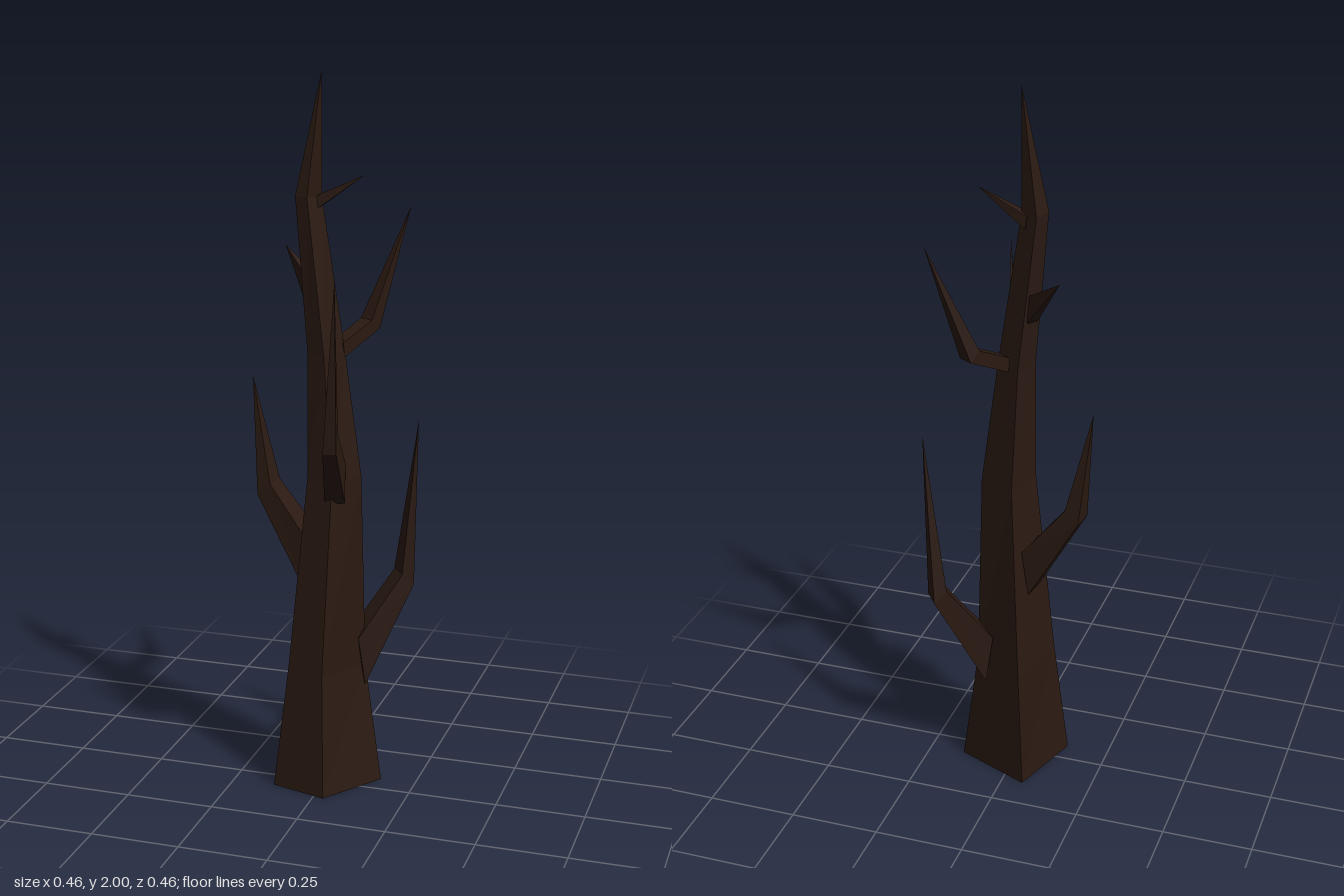
import * as THREE from 'three';

const bark = new THREE.MeshStandardMaterial({ color: 0x2b1a12, flatShading: true });
const V = (x, y, z) => new THREE.Vector3(x, y, z);

// Skin four-cornered rings (counter-clockwise seen from the tip), closed by a point
function spike(name, rings, tip) {
  const pos = [];
  const tri = (...pts) => pts.forEach((p) => pos.push(p.x, p.y, p.z));
  rings.forEach((ring, r) => {
    const next = rings[r + 1];
    for (let i = 0; i < 4; i++) {
      const j = (i + 1) % 4;
      if (next) {
        tri(ring[i], ring[j], next[j]);
        tri(ring[i], next[j], next[i]);
      } else tri(ring[i], ring[j], tip);
    }
  });
  const [a, b, c, d] = rings[0];
  tri(a, c, b);
  tri(a, d, c);
  const geo = new THREE.BufferGeometry();
  geo.setAttribute('position', new THREE.Float32BufferAttribute(pos, 3));
  geo.computeVertexNormals();
  const mesh = new THREE.Mesh(geo, bark);
  mesh.name = name;
  return mesh;
}

// Rectangle across a branch; lean tips its upper edge back towards the trunk
function ring(center, heading, halfWidth, halfHeight, lean) {
  const up = V(0, Math.cos(lean), 0).addScaledVector(heading, -Math.sin(lean));
  const side = V(0, 1, 0).cross(heading).normalize();
  return [[1, -1], [1, 1], [-1, 1], [-1, -1]].map(([s, u]) =>
    center.clone().addScaledVector(side, s * halfWidth).addScaledVector(up, u * halfHeight));
}

// Branch: root ring on the trunk, optional elbow ring, pointed tip
function branch({ name, root, rootSize, elbow, elbowSize, tip }) {
  const start = V(...root), end = V(...tip);
  const heading = (elbow ? V(...elbow) : end.clone()).sub(start).setY(0).normalize();
  const rings = [ring(start, heading, ...rootSize, 0.15)];
  if (elbow) rings.push(ring(V(...elbow), heading, ...elbowSize, 0.85));
  return spike(name, rings, end);
}

export function createModel() {
  const tree = new THREE.Group();
  tree.name = 'deadTree';

  // Trunk: one skewed quadrilateral fitted to bounds [y, xMin, xMax, zMin, zMax]
  const corners = [[0, 0.83], [0.57, 1], [1, 0.35], [0.25, 0]];
  const levels = [
    [0, -0.13, 0.15, -0.155, 0.108],
    [0.35, -0.093, 0.1, -0.147, 0.078],
    [0.9, -0.045, 0.09, -0.1, 0.035],
    [1.25, -0.045, 0.045, -0.08, 0.025],
    [1.67, -0.082, -0.018, -0.06, 0.008],
  ];
  const rings = levels.map(([y, x0, x1, z0, z1]) =>
    corners.map(([u, v]) => V(x0 + u * (x1 - x0), y, z0 + v * (z1 - z0))));
  tree.add(spike('trunk', rings, V(-0.015, 2, -0.025)));

  // Branches and twigs; sizes are half width and half height
  [
    { name: 'lowerRightBranch', root: [-0.05, 0.645, -0.045], rootSize: [0.042, 0.065],
      elbow: [-0.182, 0.845, -0.061], elbowSize: [0.032, 0.026], tip: [-0.232, 1.155, -0.08] },
    { name: 'lowerLeftBranch', root: [0.075, 0.36, -0.075], rootSize: [0.035, 0.07],
      elbow: [0.186, 0.585, -0.158], elbowSize: [0.03, 0.024], tip: [0.23, 1.05, -0.132] },
    { name: 'frontBranch', root: [0.035, 0.895, 0.015], rootSize: [0.028, 0.055],
      elbow: [0.064, 1.045, 0.152], elbowSize: [0.018, 0.034], tip: [0.1, 1.5, 0.232] },
    { name: 'backBranch', root: [0.025, 1.255, -0.05], rootSize: [0.022, 0.02],
      elbow: [0.085, 1.31, -0.15], elbowSize: [0.022, 0.02], tip: [0.175, 1.625, -0.232] },
    { name: 'rightTwig', root: [-0.045, 1.41, -0.038], rootSize: [0.018, 0.035], tip: [-0.147, 1.52, -0.117] },
    { name: 'topTwig', root: [-0.035, 1.65, -0.035], rootSize: [0.016, 0.018], tip: [0.1, 1.73, -0.035] },
  ].forEach((spec) => tree.add(branch(spec)));

  return tree;
}
